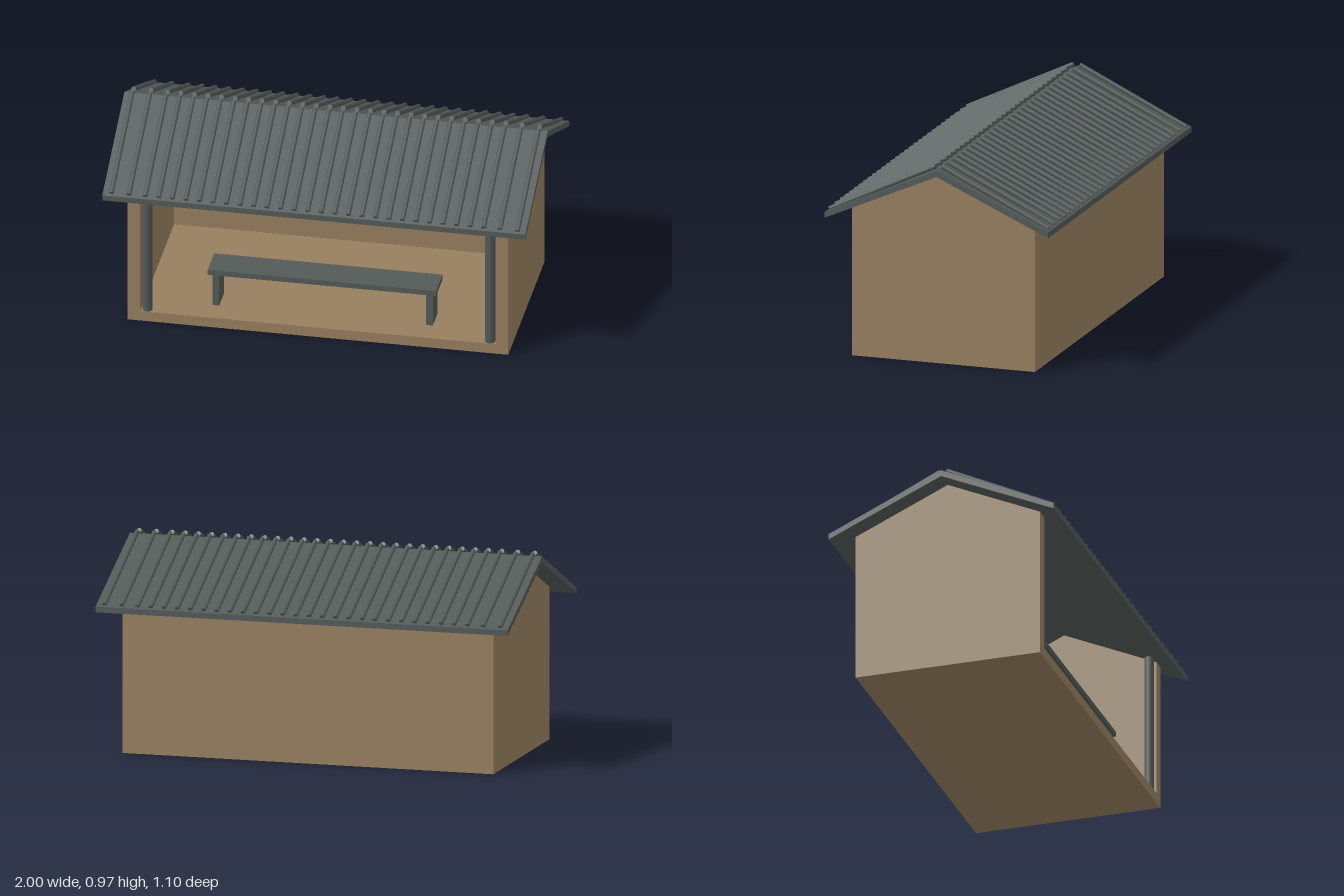
import * as THREE from 'three';

const wood = new THREE.MeshStandardMaterial({ color: 0x967f5e });
wood.name = 'tan wood';
const slate = new THREE.MeshStandardMaterial({ color: 0x525a58 });
slate.name = 'slate grey';

export function createModel() {
  const model = new THREE.Group();
  model.name = 'shelter';

  const add = (name, geometry, material, x = 0, y = 0, z = 0) => {
    const mesh = new THREE.Mesh(geometry, material);
    mesh.name = name;
    mesh.position.set(x, y, z);
    model.add(mesh);
    return mesh;
  };
  const box = (name, material, w, h, d, x, y, z) =>
    add(name, new THREE.BoxGeometry(w, h, d), material, x, y, z);

  // Extrudes a symmetric (z, y) profile along x, centred on x = 0
  const extrudeX = (points, width) => {
    const shape = new THREE.Shape(points.map(([z, y]) => new THREE.Vector2(z, y)));
    const g = new THREE.ExtrudeGeometry(shape, { depth: width, bevelEnabled: false });
    g.translate(0, 0, -width / 2);
    return g.rotateY(Math.PI / 2);
  };

  // Floor and back wall, which stops short of the roof
  box('floor', wood, 1.68, 0.05, 0.9, 0, 0.025, 0);
  box('backWall', wood, 1.68, 0.63, 0.06, 0, 0.365, -0.42);

  // Gabled side walls
  const gable = extrudeX([[-0.45, 0], [0.45, 0], [0.45, 0.72], [0, 0.922], [-0.45, 0.72]], 0.06);
  for (const s of [-1, 1]) add(s > 0 ? 'leftWall' : 'rightWall', gable, wood, s * 0.87);

  // Pitched roof with vertical eave ends
  add('roof', extrudeX([
    [-0.55, 0.678], [0, 0.923], [0.55, 0.678],
    [0.55, 0.705], [0, 0.953], [-0.55, 0.705],
  ], 2), slate);

  // Round roof ribs: an even run, plus wider-spaced ones over the overhangs
  const ribXs = [-0.96, -0.877, 0.877, 0.96];
  for (let i = 0; i < 26; i++) ribXs.push(-0.8 + i * 0.064);
  const top = new THREE.Vector2(0.016, 0.9645);
  const low = new THREE.Vector2(0.539, 0.714);
  const ribGeo = new THREE.CylinderGeometry(0.0115, 0.0115, top.distanceTo(low), 8);
  const tilt = Math.atan2(low.x - top.x, top.y - low.y);
  for (const s of [-1, 1]) {
    for (const x of ribXs) {
      const rib = add(s > 0 ? 'frontRib' : 'backRib', ribGeo, slate,
        x, (top.y + low.y) / 2, s * (top.x + low.x) / 2);
      rib.rotation.x = -s * tilt;
    }
  }

  // Front posts
  const postGeo = new THREE.CylinderGeometry(0.024, 0.024, 0.68, 8);
  for (const s of [-1, 1]) add('frontPost', postGeo, slate, s * 0.81, 0.39, 0.425);

  // Bench
  box('benchSeat', slate, 1.08, 0.026, 0.16, 0, 0.233, 0.27);
  for (const s of [-1, 1]) box('benchLeg', slate, 0.032, 0.17, 0.12, s * 0.505, 0.135, 0.27);

  return model;
}
